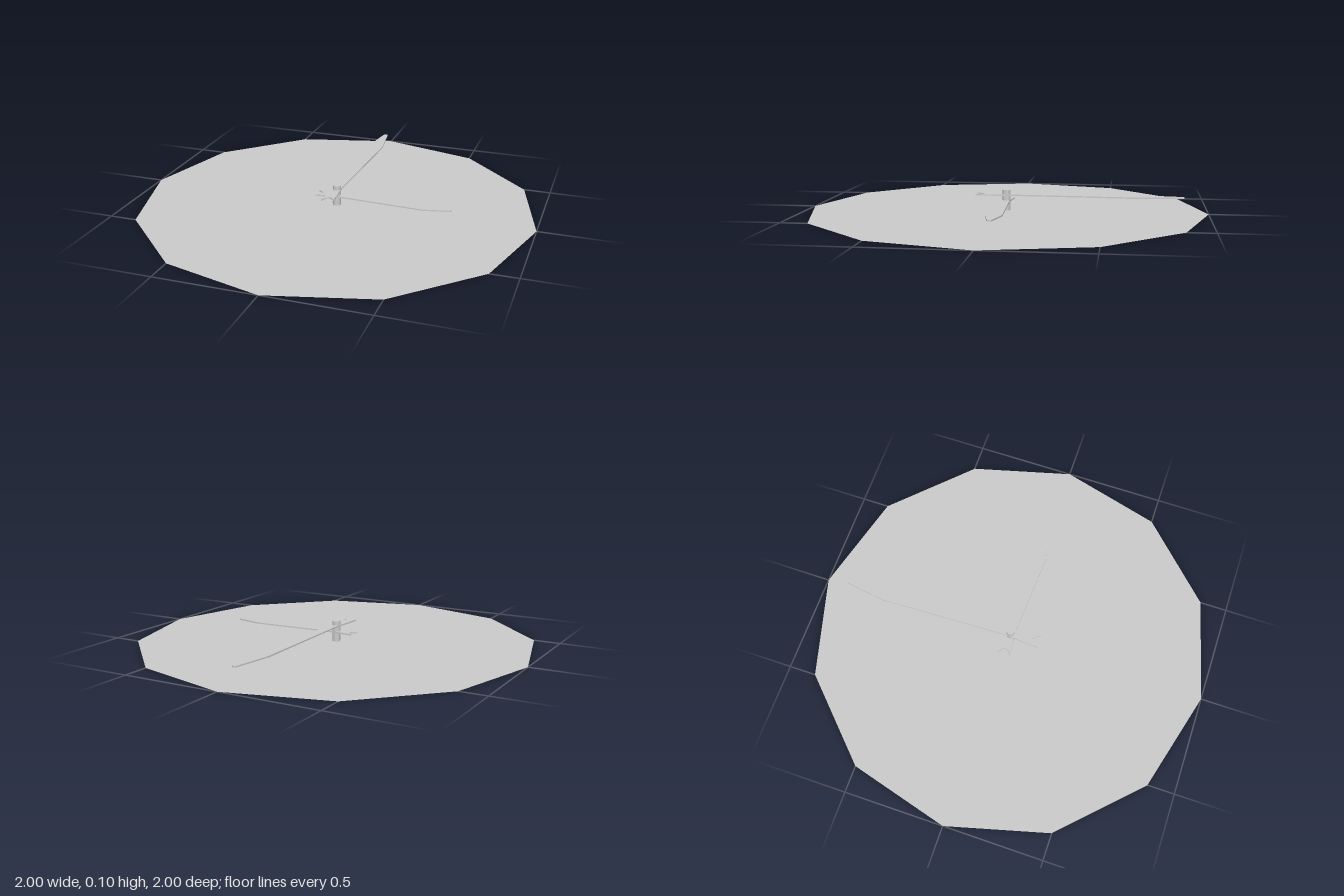
import * as THREE from 'three';

const material = new THREE.MeshStandardMaterial({ color: 0xcccccc, flatShading: true });
const faceMaterial = new THREE.MeshStandardMaterial({ color: 0xcccccc, side: THREE.DoubleSide });

// Flat hand along +y of its shape, from half an outline of [half width, distance along]
function makeHand(name, half, y, thickness = 0.007) {
  const mirrored = half.filter(([w]) => w > 0).reverse().map(([w, d]) => [-w, d]);
  const shape = new THREE.Shape([...half, ...mirrored].map(([w, d]) => new THREE.Vector2(w, d)));
  const geometry = new THREE.ExtrudeGeometry(shape, { depth: thickness, bevelEnabled: false });
  geometry.rotateX(-Math.PI / 2); // lies flat, pointing to -z
  geometry.translate(0, y - thickness / 2, 0);
  const hand = new THREE.Mesh(geometry, material);
  hand.name = name;
  return hand;
}

export function createModel() {
  const clock = new THREE.Group();
  clock.name = 'clock';

  // Twelve-sided dial, one corner per hour
  const dial = new THREE.Mesh(new THREE.CircleGeometry(1, 12).rotateX(-Math.PI / 2), faceMaterial);
  dial.name = 'dial';
  clock.add(dial);

  // Centre pin carrying both hands
  const pin = new THREE.Mesh(new THREE.CylinderGeometry(0.02, 0.02, 0.104, 12).translate(0, 0.052, 0), material);
  pin.name = 'centrePin';
  clock.add(pin);

  // Each half outline runs from the tail notch, round the fork, to the tip
  const minuteHand = makeHand('minuteHand', [
    [0, -0.11], [0.012, -0.116], [0.021, -0.128], [0.03, -0.153], [0.027, -0.08],
    [0.018, 0.02], [0.04, 0.67], [0.013, 0.86], [0.009, 0.878], [0, 0.882],
  ], 0.079);
  clock.add(minuteHand);

  const hourHand = makeHand('hourHand', [
    [0, -0.077], [0.012, -0.08], [0.02, -0.088], [0.031, -0.105], [0.026, -0.065],
    [0.018, 0.02], [0.04, 0.45], [0.013, 0.575], [0.008, 0.585], [0, 0.587],
  ], 0.048);
  hourHand.rotation.y = -Math.PI / 2; // points to +x
  clock.add(hourHand);

  return clock;
}
